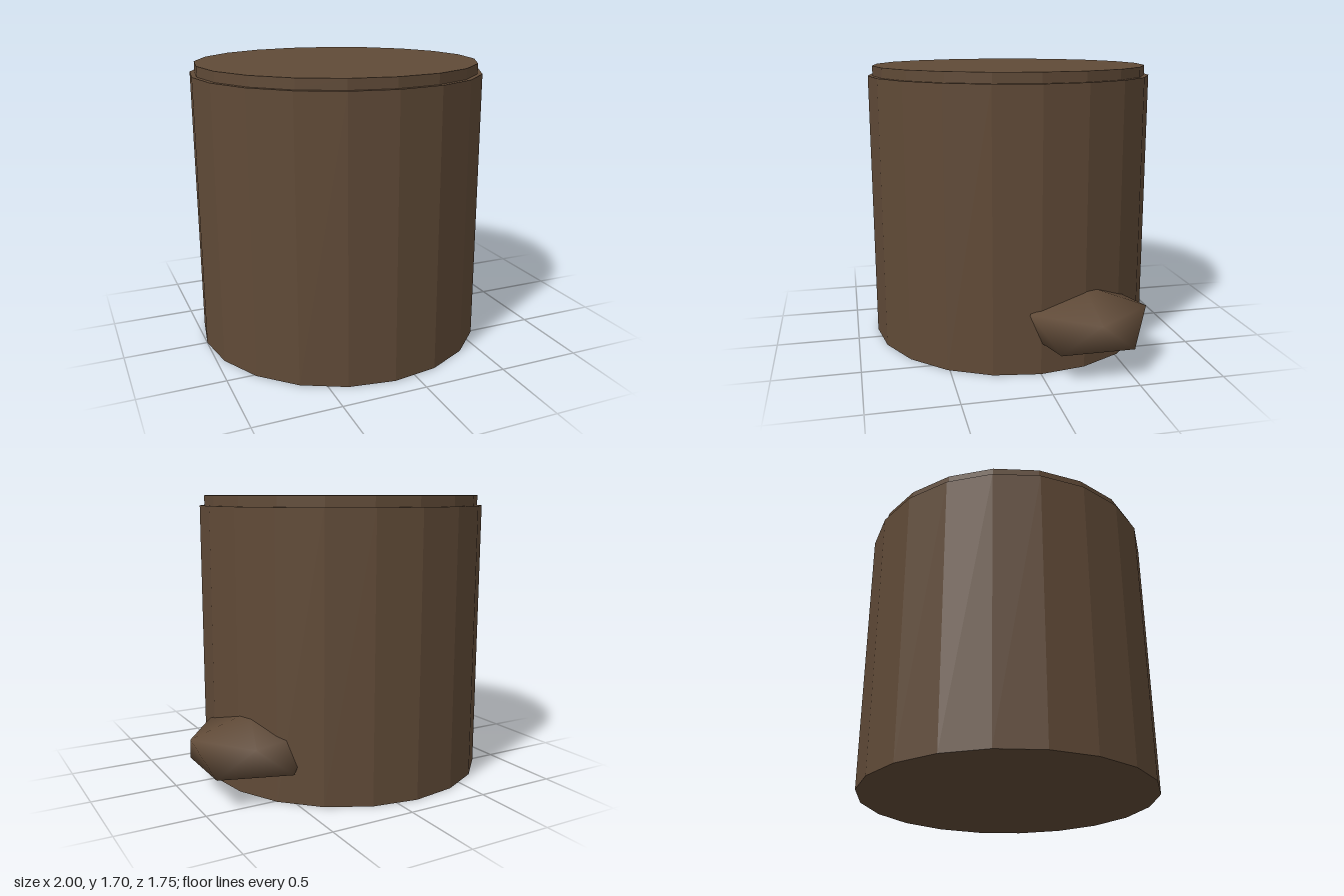
import * as THREE from 'three';

// Smooth knob: a squashed icosahedron with a vertical pole
function knobGeometry(radius, halfHeight) {
  const pos = [0, halfHeight, 0];
  const ring = (y, offset) => {
    for (let i = 0; i < 5; i++) {
      const a = (i * 72 + offset) * Math.PI / 180;
      pos.push(radius * 0.894 * Math.cos(a), y, radius * 0.894 * Math.sin(a));
    }
  };
  ring(halfHeight * 0.447, 0);
  ring(-halfHeight * 0.447, 36);
  pos.push(0, -halfHeight, 0);

  const index = [];
  for (let i = 0; i < 5; i++) {
    const j = (i + 1) % 5;
    const u = 1 + i, un = 1 + j, l = 6 + i, ln = 6 + j;
    index.push(0, un, u, u, un, l, l, un, ln, 11, l, ln);
  }
  const geo = new THREE.BufferGeometry();
  geo.setAttribute('position', new THREE.Float32BufferAttribute(pos, 3));
  geo.setIndex(index);
  geo.computeVertexNormals();
  return geo;
}

export function createModel() {
  const model = new THREE.Group();
  model.name = 'stump';

  const bark = new THREE.MeshStandardMaterial({ color: 0x604a37 });
  bark.name = 'barkBrown';

  const add = (name, geo, x, y, z) => {
    const mesh = new THREE.Mesh(geo, bark);
    mesh.name = name;
    mesh.position.set(x, y, z);
    model.add(mesh);
  };

  // Faceted drum with hard edges
  const drum = (radius, height) => {
    const geo = new THREE.CylinderGeometry(radius, radius, height, 20).toNonIndexed();
    geo.computeVertexNormals();
    return geo;
  };

  // Trunk and the slightly narrower cut top
  add('trunk', drum(0.873, 1.64), -0.127, 0.82, 0);
  add('cutTop', drum(0.845, 0.06), -0.127, 1.67, 0);

  // Burl low on the left side, towards the back
  add('burl', knobGeometry(0.403, 0.202), 0.638, 0.275, -0.278);

  return model;
}
